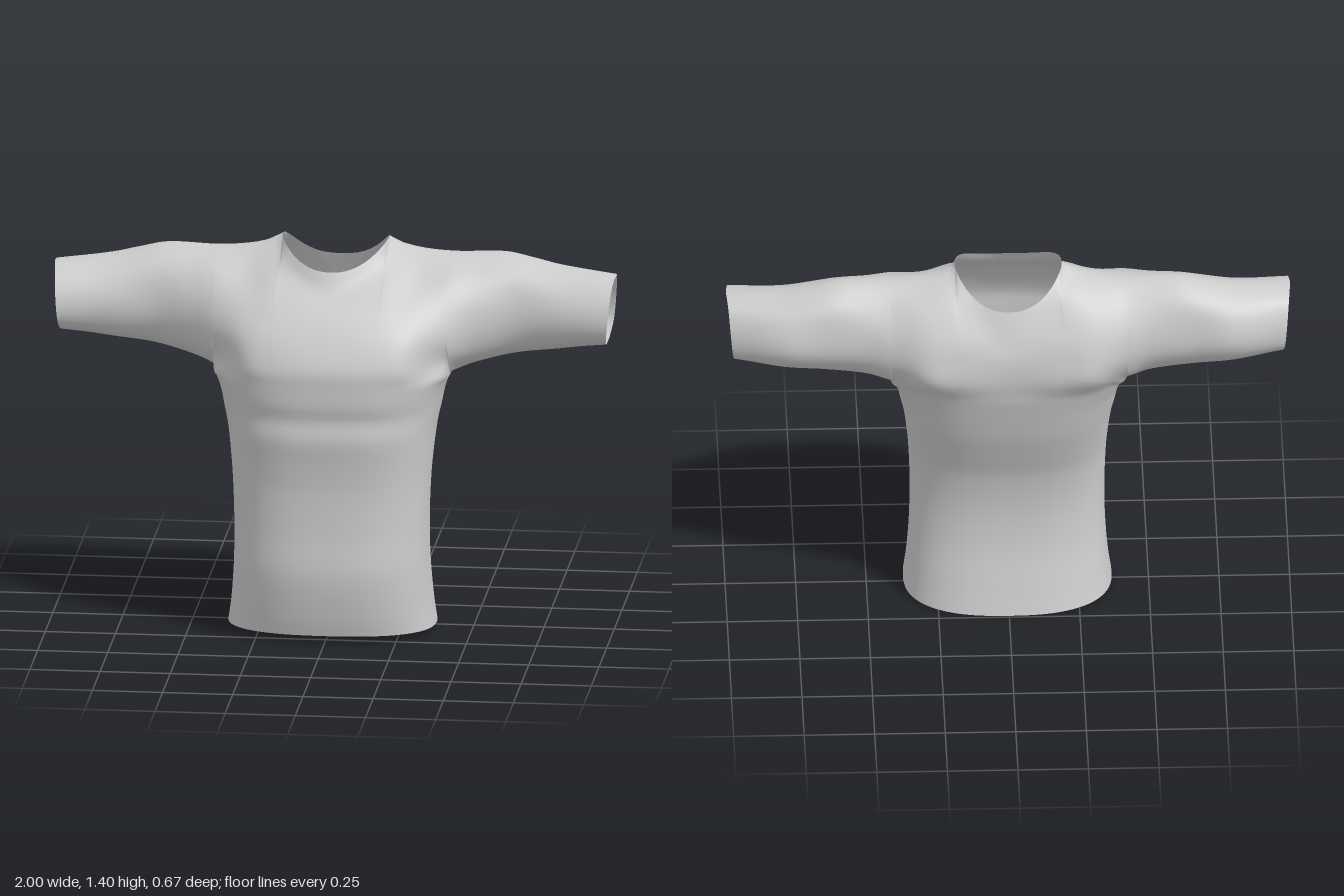
import * as THREE from 'three';
import { mergeVertices } from 'three/addons/utils/BufferGeometryUtils.js';

const PIT = 0.42, NECK = 0.19; // half widths at the armpits and the neck hole

// Smooth interpolation through rows [key, a, b, ...] -> [a, b, ...]
function sample(rows, k) {
  const n = rows.length;
  let i = 0;
  while (i < n - 2 && k > rows[i + 1][0]) i++;
  const p = rows[i], q = rows[i + 1], h = q[0] - p[0];
  const t = THREE.MathUtils.clamp((k - p[0]) / h, 0, 1);
  const slope = (j, c) => {
    const a = rows[Math.max(j - 1, 0)], b = rows[Math.min(j + 1, n - 1)];
    return (b[c] - a[c]) / (b[0] - a[0]);
  };
  return p.slice(1).map((v, j) => {
    const c = j + 1, t2 = t * t, t3 = t2 * t;
    return v * (2 * t3 - 3 * t2 + 1) + q[c] * (3 * t2 - 2 * t3)
      + h * (slope(i, c) * (t3 - 2 * t2 + t) + slope(i + 1, c) * (t3 - t2));
  });
}

// Torso: y, half width, front z, back z, side seam z
const TORSO = [
  [0, 0.372, 0.29, -0.242, 0.02], [0.1, 0.358, 0.315, -0.215, 0.02],
  [0.25, 0.347, 0.333, -0.18, 0.03], [0.4, 0.345, 0.32, -0.17, 0.04],
  [0.55, 0.35, 0.314, -0.19, 0.04], [0.65, 0.358, 0.321, -0.225, 0.03],
  [0.75, 0.37, 0.333, -0.262, 0.01], [0.82, 0.385, 0.324, -0.282, 0],
  [0.87, 0.395, 0.334, -0.295, -0.01], [0.94, PIT, 0.335, -0.313, -0.03],
];
// Shoulder ridge and sleeve underside: x, z, y
const RIDGE = [
  [0.19, -0.1, 1.398], [0.24, -0.1, 1.373], [0.3, -0.1, 1.354], [0.42, -0.11, 1.343], [0.6, -0.12, 1.345],
  [0.7, -0.12, 1.324], [0.8, -0.11, 1.303], [1, -0.08, 1.281],
];
const UNDER = [
  [0.42, -0.03, 0.93], [0.5, -0.06, 0.957], [0.64, -0.09, 0.987], [0.8, -0.09, 1.008], [1, -0.1, 1.03],
];
// Chest and sleeve columns: x, then four (z, y) points from low to high
const FRONT = [
  [-0.19, 0.315, 1.01, 0.27, 1.11, 0.19, 1.2, 0.06, 1.3],
  [0, 0.33, 1.01, 0.285, 1.1, 0.225, 1.18, 0.145, 1.245],
  [0.19, 0.315, 1.01, 0.27, 1.11, 0.19, 1.2, 0.06, 1.3],
  [0.3, 0.27, 1.01, 0.235, 1.11, 0.15, 1.2, 0.03, 1.285],
  [0.42, 0.11, 1.0, 0.14, 1.09, 0.1, 1.2, 0.02, 1.29],
  [0.5, 0.04, 1.0, 0.08, 1.09, 0.065, 1.2, 0, 1.29],
  [0.64, -0.01, 1.02, 0.03, 1.1, 0.025, 1.2, -0.02, 1.29],
  [0.8, 0, 1.04, 0.04, 1.11, 0.035, 1.19, -0.015, 1.265],
  [1, 0.02, 1.055, 0.065, 1.11, 0.055, 1.19, 0, 1.26],
];
const BACK = [
  [-0.19, -0.335, 1.03, -0.325, 1.12, -0.295, 1.205, -0.22, 1.315],
  [0, -0.325, 1.03, -0.32, 1.11, -0.3, 1.17, -0.275, 1.23],
  [0.19, -0.335, 1.03, -0.325, 1.12, -0.295, 1.205, -0.22, 1.315],
  [0.3, -0.325, 1.03, -0.325, 1.11, -0.29, 1.21, -0.22, 1.3],
  [0.42, -0.22, 0.99, -0.275, 1.08, -0.265, 1.19, -0.2, 1.29],
  [0.5, -0.19, 1.0, -0.255, 1.09, -0.25, 1.2, -0.2, 1.29],
  [0.64, -0.19, 1.02, -0.248, 1.1, -0.245, 1.2, -0.21, 1.29],
  [0.8, -0.2, 1.04, -0.253, 1.11, -0.25, 1.19, -0.205, 1.265],
  [1, -0.165, 1.055, -0.2, 1.1, -0.2, 1.18, -0.16, 1.255],
];

// Torso point: u = 0 centre .. 1 side seam, t = 0 hem .. 1 armpit level
function torsoPoint(u, t, front) {
  const section = (y) => {
    const [w, f, b, c] = sample(TORSO, y);
    const n = 2.5 + 0.2 * t;
    const k = Math.pow(Math.max(0, 1 - Math.pow(u, n)), 1 / n);
    return [u * w, y, c + ((front ? f : b) - c) * k];
  };
  const hem = 0.014 + 0.05 * section(0)[2];
  const top = 0.94 - 0.01 * Math.pow(u, 8);
  const p = section(THREE.MathUtils.lerp(hem, top, t));
  if (t === 1) p[0] = u * PIT;
  return p;
}

// Inner (z, y) control points of one column, ends shared by both halves
function column(x, front) {
  const v = sample(front ? FRONT : BACK, x);
  const pts = [0, 2, 4, 6].map((i) => [v[i], v[i + 1]]);
  let low, high;
  if (x <= PIT) {
    const p = torsoPoint(x / PIT, 1, front);
    low = [p[2], p[1]];
  } else low = sample(UNDER, x);
  if (x < NECK) { // neckline
    const r = x / NECK, k = Math.sqrt(1 - r * r);
    high = front ? [-0.1 + 0.2 * k, 1.31 + 0.088 * Math.pow(r, 2.3)]
      : [-0.1 - 0.15 * k, 1.285 + 0.113 * Math.pow(r, 2.5)];
  } else high = sample(RIDGE, x);
  return [low, ...pts, high];
}

// Curve a column from s = 0 (low) to 1 (high), rounding over into the other half
function columnPoint(x, s, front) {
  const a = column(x, front), b = column(x, !front);
  const mix = (p, q, k) => [0, 1].map((i) => p[i] + (q[i] - p[i]) * k);
  const over = THREE.MathUtils.smoothstep(x, NECK, 0.3);
  const under = THREE.MathUtils.smoothstep(x, 0.36, PIT);
  const past = [0, 1].map((i) => 2 * a[5][i] - a[4][i]);
  const pts = [mix([a[0][0], 0.86], b[1], under), ...a, mix(past, b[4], over)];
  const i = Math.min(4, Math.floor(s * 5)), t = s * 5 - i;
  const [z, y] = [0, 1].map((c) => {
    const [p0, p1, p2, p3] = pts.slice(i, i + 4).map((p) => p[c]);
    return p1 + 0.5 * t * (p2 - p0 + t * (2 * p0 - 5 * p1 + 4 * p2 - p3 + t * (3 * (p1 - p2) + p3 - p0)));
  });
  // the cuff is cut at a slight slant
  const slant = 0.035 * (1 - s) * THREE.MathUtils.smoothstep(x, 0.75, 1);
  return [x - slant, y, z];
}

function shirtGeometry() {
  // Columns: neck, chest to armpit, sleeve
  const half = [];
  for (let k = 0; k <= 10; k++) half.push(NECK * Math.sin((k / 10) * Math.PI / 2));
  for (let k = 1; k <= 18; k++) half.push(k === 18 ? PIT : NECK + (PIT - NECK) * Math.sin((k / 18) * Math.PI / 2));
  for (let k = 1; k <= 26; k++) half.push(PIT + (1 - PIT) * k / 26);
  const xs = [...half.slice(1).reverse().map((x) => -x), ...half];

  const LOW = 44, UP = 25, pos = [], idx = [];
  for (const front of [true, false]) {
    const point = (x, r) => {
      const ax = Math.abs(x);
      const p = r < LOW ? torsoPoint(Math.min(1, ax / PIT), r / LOW, front)
        : columnPoint(ax, (r - LOW) / UP, front);
      return [Math.sign(x) * p[0], p[1], p[2]];
    };
    const base = pos.length / 3, rows = LOW + UP + 1;
    for (const x of xs) for (let r = 0; r < rows; r++) pos.push(...point(x, r));
    for (let i = 0; i < xs.length - 1; i++) {
      const sleeve = Math.max(Math.abs(xs[i]), Math.abs(xs[i + 1])) > PIT;
      for (let r = sleeve ? LOW : 0; r < rows - 1; r++) {
        const a = base + i * rows + r, b = a + rows;
        if (front) idx.push(a, b, b + 1, a, b + 1, a + 1);
        else idx.push(a, b + 1, b, a, a + 1, b + 1);
      }
    }
  }
  // Sew the halves together
  let g = new THREE.BufferGeometry();
  g.setAttribute('position', new THREE.Float32BufferAttribute(pos, 3));
  g.setIndex(idx);
  g = mergeVertices(g, 1e-4);
  g.computeVertexNormals();
  return g;
}

export function createModel() {
  const group = new THREE.Group();
  group.name = 'shirt';
  const cloth = new THREE.MeshStandardMaterial({ color: 0xcccccc, side: THREE.DoubleSide });
  const shirt = new THREE.Mesh(shirtGeometry(), cloth);
  shirt.name = 'shirtBody';
  group.add(shirt);
  return group;
}
